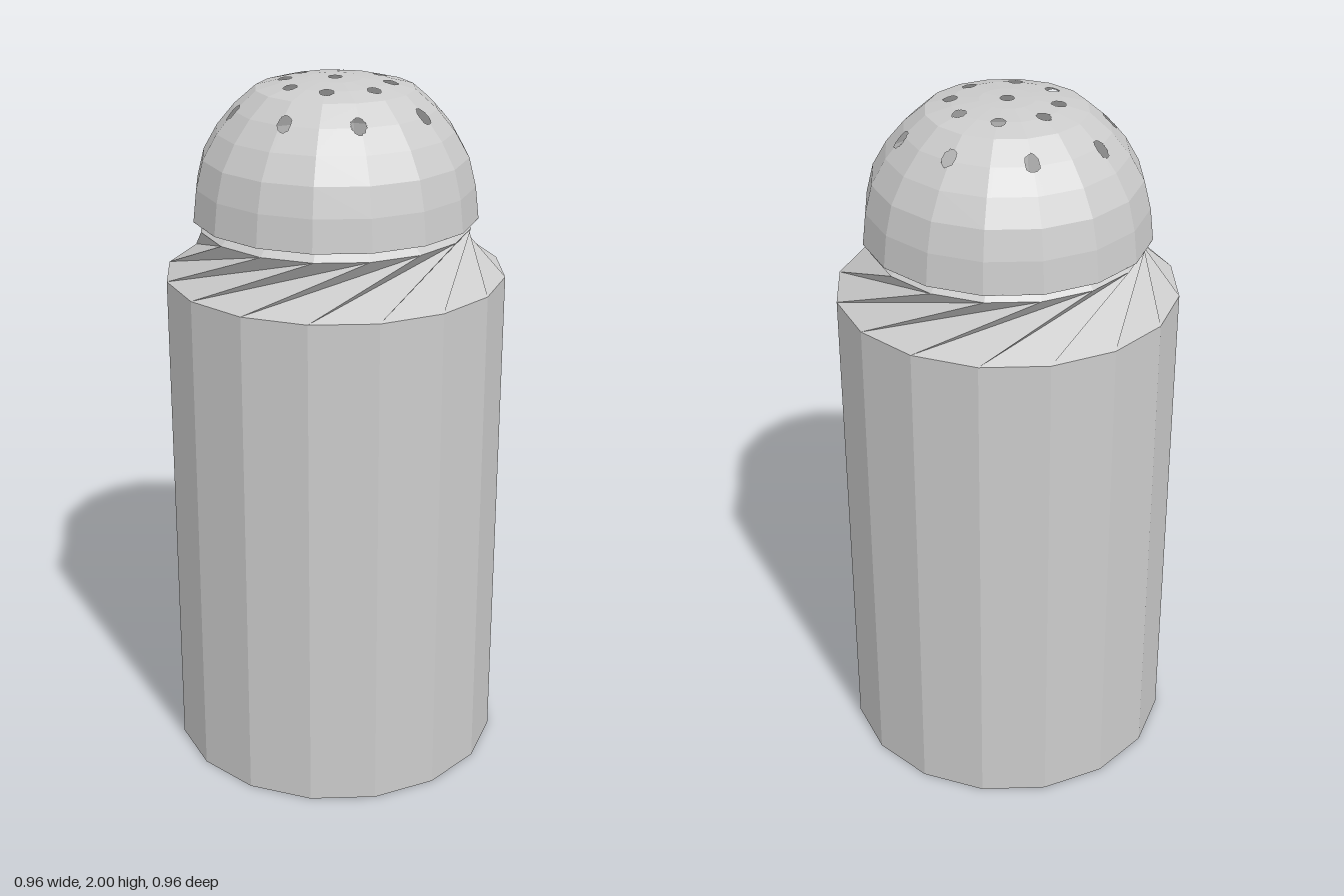
import * as THREE from 'three';

const SIDES = 16;
const STEP = (Math.PI * 2) / SIDES;
const HOLE_R = 0.018;

// Dome profile as [radius, height], from the crown to the rim
const DOME = [
  [0, 2], [0.075, 1.998], [0.15, 1.99], [0.22, 1.972], [0.28, 1.92],
  [0.33, 1.86], [0.37, 1.79], [0.39, 1.71], [0.4, 1.62],
];

// Hole centres as [x, z]: one in the middle, two rings of eight
const HOLES = [
  [0, 0],
  [0, -0.147], [0.11, -0.103], [0.152, 0], [0.12, 0.105],
  [0, 0.153], [-0.105, 0.107], [-0.138, 0], [-0.11, -0.093],
  [-0.103, -0.25], [0.11, -0.248], [0.265, -0.107], [0.253, 0.107],
  [0.1, 0.253], [-0.095, 0.255], [-0.262, 0.1], [-0.262, -0.102],
];

const material = new THREE.MeshStandardMaterial({ color: 0xcccccc, flatShading: true });
const shellMaterial = new THREE.MeshStandardMaterial({
  color: 0xcccccc, flatShading: true, side: THREE.DoubleSide,
});

function addMesh(group, name, geometry, mat = material, y = 0) {
  const mesh = new THREE.Mesh(geometry, mat);
  mesh.name = name;
  mesh.position.y = y;
  group.add(mesh);
}

function fromTriangles(points) {
  const geometry = new THREE.BufferGeometry().setFromPoints(points);
  geometry.computeVertexNormals();
  return geometry;
}

// Height of the faceted dome above a point in plan
function domeHeight(x, z) {
  const angle = Math.atan2(z, x);
  const middle = (Math.floor(angle / STEP) + 0.5) * STEP;
  const r = Math.hypot(x, z) * Math.cos(angle - middle) / Math.cos(STEP / 2);
  for (let i = 1; i < DOME.length; i++) {
    const [r0, y0] = DOME[i - 1], [r1, y1] = DOME[i];
    if (r <= r1) return y0 + (y1 - y0) * (r - r0) / (r1 - r0);
  }
  return DOME[DOME.length - 1][1];
}

const holeAt = (x, z) => HOLES.find(([hx, hz]) => Math.hypot(x - hx, z - hz) < HOLE_R);

// Move a plan point that lies inside a hole out to its edge, then lift it to the dome
function domePoint([x, z]) {
  const hole = holeAt(x, z);
  if (hole) {
    const dx = x - hole[0], dz = z - hole[1];
    const d = Math.hypot(dx, dz) || 1;
    x = hole[0] + dx * HOLE_R / d;
    z = hole[1] + dz * HOLE_R / d;
  }
  return new THREE.Vector3(x, domeHeight(x, z), z);
}

// Faceted dome shell; perforated bands are divided finely so holes can be cut out
function domeGeometry() {
  const points = [];
  const addTriangle = (corners) => {
    const cx = (corners[0][0] + corners[1][0] + corners[2][0]) / 3;
    const cz = (corners[0][1] + corners[1][1] + corners[2][1]) / 3;
    if (!holeAt(cx, cz)) points.push(...corners.map(domePoint));
  };
  for (let band = 1; band < DOME.length; band++) {
    const r0 = DOME[band - 1][0], r1 = DOME[band][0];
    const n = r1 > 0.34 ? 1 : 12;
    for (let s = 0; s < SIDES; s++) {
      const a0 = s * STEP, a1 = a0 + STEP;
      const at = (u, v) => {
        const r = r0 + (r1 - r0) * v / n, t = u / n;
        return [
          r * (Math.cos(a0) * (1 - t) + Math.cos(a1) * t),
          r * (Math.sin(a0) * (1 - t) + Math.sin(a1) * t),
        ];
      };
      for (let u = 0; u < n; u++) {
        for (let v = 0; v < n; v++) {
          const a = at(u, v), b = at(u + 1, v), c = at(u + 1, v + 1), d = at(u, v + 1);
          if (r0 > 0 || v > 0) addTriangle([a, b, d]);
          addTriangle([b, c, d]);
        }
      }
    }
  }
  return fromTriangles(points);
}

// Shoulder whose top ring is twisted by two to three sides against the bottom ring
function shoulderGeometry() {
  const ring = (r, y, i) =>
    new THREE.Vector3(r * Math.sin(i * STEP), y, r * Math.cos(i * STEP));
  const bottom = (i) => ring(0.48, 1.455, i);
  const top = (i) => ring(0.38, 1.59, i);
  const points = [];
  for (let i = 0; i < SIDES; i++) {
    points.push(bottom(i), bottom(i + 1), top(i + 3));
    points.push(bottom(i), top(i + 3), top(i + 2));
  }
  return fromTriangles(points);
}

export function createModel() {
  const group = new THREE.Group();
  group.name = 'shaker';

  addMesh(group, 'body', new THREE.CylinderGeometry(0.48, 0.48, 1.455, SIDES), material, 0.7275);
  addMesh(group, 'shoulder', shoulderGeometry(), shellMaterial);
  addMesh(group, 'neck', new THREE.CylinderGeometry(0.347, 0.38, 0.03, SIDES), material, 1.605);

  // Flat underside of the cap, reaching from the neck to the rim
  const base = new THREE.CircleGeometry(0.4, SIDES).rotateX(Math.PI / 2);
  addMesh(group, 'capBase', base, shellMaterial, 1.621);
  addMesh(group, 'perforatedCap', domeGeometry(), shellMaterial);
  return group;
}
